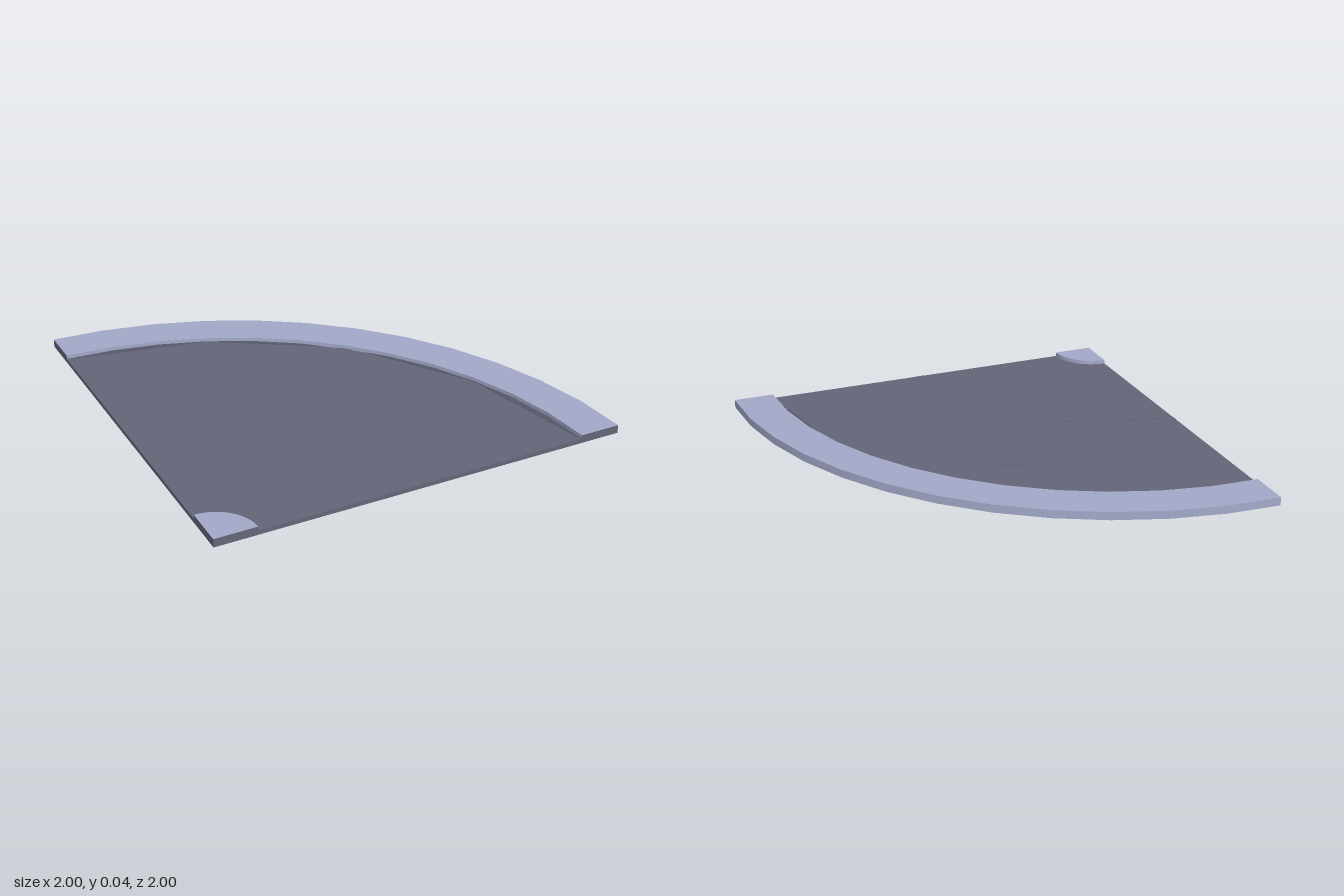
import * as THREE from 'three';

const paving = new THREE.MeshStandardMaterial({ color: 0xa4aacb });
paving.name = 'palePaving';
const asphalt = new THREE.MeshStandardMaterial({ color: 0x64677a });
asphalt.name = 'asphalt';
const gutterGrey = new THREE.MeshStandardMaterial({ color: 0x575a6a });
gutterGrey.name = 'gutterGrey';

const R = 2, INNER = 1.8, CORNER = 0.2, TOP = 0.04, ROAD = 0.02;

export function createModel() {
  const group = new THREE.Group();
  // everything is laid out around the centre of the bend
  const tile = new THREE.Group();
  tile.name = 'roadBend';
  tile.position.set(-1, 0, 1);
  group.add(tile);

  const add = (name, geometry, material) => {
    const mesh = new THREE.Mesh(geometry, material);
    mesh.name = name;
    tile.add(mesh);
    return mesh;
  };

  // quarter-turn surface swept from one profile edge
  const sweep = (name, r0, y0, r1, y1, material) => add(name, new THREE.LatheGeometry(
    [new THREE.Vector2(r0, y0), new THREE.Vector2(r1, y1)], 12, Math.PI / 2, Math.PI / 2), material);

  sweep('underside', 0, 0, R, 0, asphalt);
  sweep('outerWall', R, 0, R, TOP, paving);
  sweep('outerPavement', R, TOP, INNER, TOP, paving);
  sweep('outerKerb', INNER, TOP, INNER, ROAD, paving);
  sweep('roadSurface', INNER, ROAD, CORNER, ROAD, asphalt);
  sweep('cornerKerb', CORNER, ROAD, CORNER, TOP, paving);
  sweep('cornerPavement', CORNER, TOP, 0, TOP, paving);

  // straight cut ends, showing the stepped section
  for (const s of [1, -1]) {
    const section = new THREE.Shape([
      [0, 0], [R, 0], [R, TOP], [INNER, TOP], [INNER, ROAD], [CORNER, ROAD], [CORNER, TOP], [0, TOP],
    ].map(([x, y]) => new THREE.Vector2(s * x, y)));
    const end = add(s > 0 ? 'frontCut' : 'sideCut', new THREE.ShapeGeometry(section), asphalt);
    if (s < 0) end.rotation.y = -Math.PI / 2;
  }

  // thin plates lying on the road, outlined by points in plan
  const plate = (name, points, depth, material) => {
    const shape = new THREE.Shape(points.map(([x, y]) => new THREE.Vector2(x, y)));
    const geometry = new THREE.ExtrudeGeometry(shape, { depth, bevelEnabled: false });
    geometry.rotateX(-Math.PI / 2);
    add(name, geometry, material).position.y = ROAD;
  };

  // gutter slivers between straight chords and the kerb
  const stops = [0, 22.5, 42, 48, 67.5, 90];
  for (let i = 0; i < stops.length - 1; i++) {
    const arc = [];
    for (let k = 0; k <= 8; k++) {
      const a = THREE.MathUtils.degToRad(THREE.MathUtils.lerp(stops[i], stops[i + 1], k / 8));
      arc.push([INNER * Math.cos(a), INNER * Math.sin(a)]);
    }
    plate('gutter', arc, 0.002, gutterGrey);
  }

  // cracked patches in the road
  const patches = [
    [[0.74, 1.29], [1.13, 1.14], [1.21, 0.93]],
    [[0, 1.02], [0.62, 0.81], [0.65, 0.75]],
    [[0, 1.02], [0.68, 0.7], [0, 0.98]],
    [[0.78, 0.5], [0.98, 0], [1.02, 0]],
  ];
  for (const points of patches) plate('roadPatch', points, 0.001, asphalt);

  return group;
}
